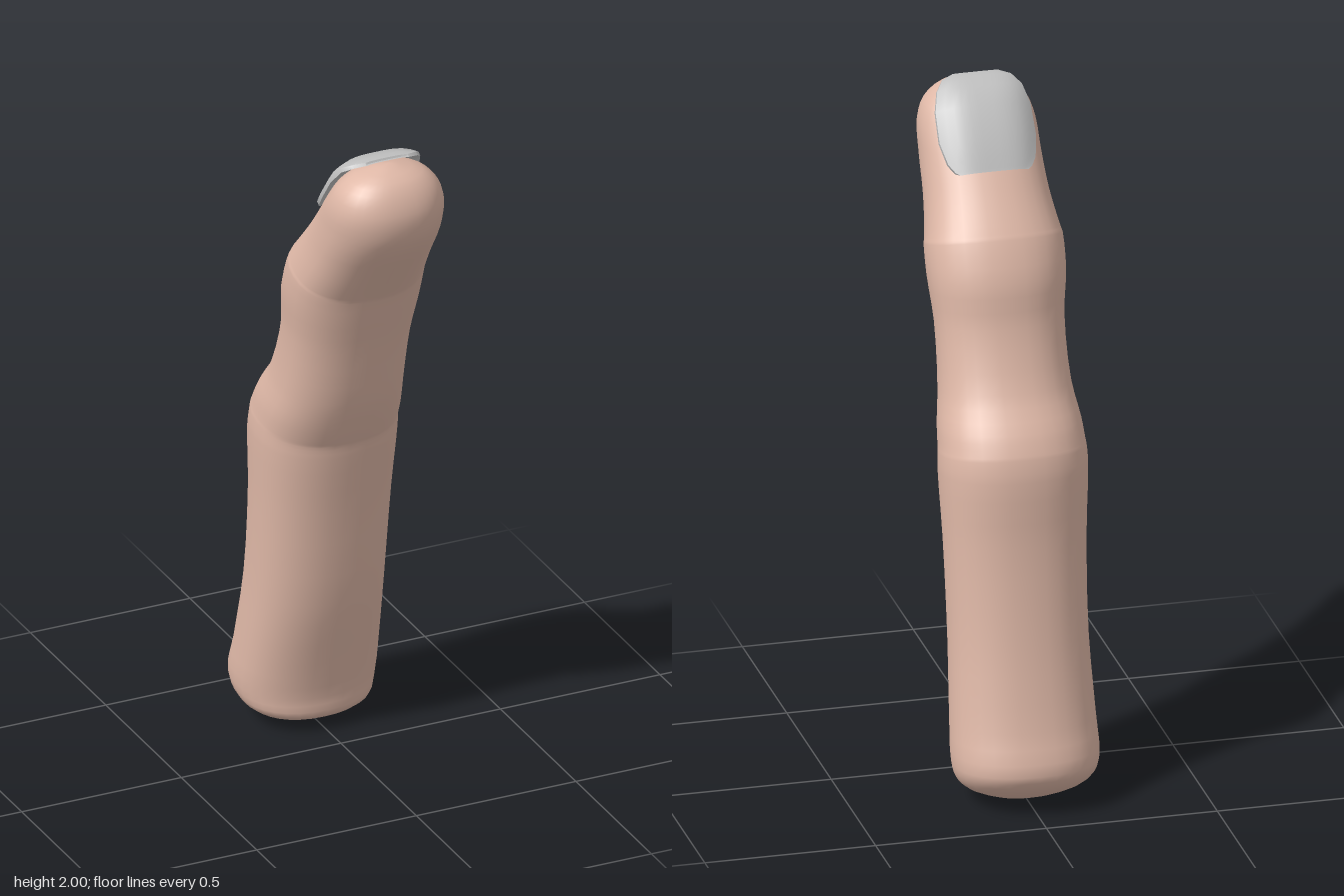
import * as THREE from 'three';
import { mergeVertices, toCreasedNormals } from 'three/addons/utils/BufferGeometryUtils.js';

// Skin a list of closed rings (equal point counts) into one welded surface
function loft(rings) {
  const n = rings[0].length, index = [];
  for (let i = 0; i < rings.length - 1; i++) {
    for (let j = 0; j < n; j++) {
      const a = i * n + j, b = i * n + (j + 1) % n;
      index.push(a, a + n, b, b, a + n, b + n);
    }
  }
  const raw = new THREE.BufferGeometry().setFromPoints(rings.flat());
  raw.setIndex(index);
  const geometry = mergeVertices(raw, 1e-5);
  geometry.computeVertexNormals();
  return geometry;
}

// Finger sections from base to tip: front z, front y, back z, back y, half width
const SECTIONS = [
  [-0.25, 0.0, -0.26, 0.0, 0.0],
  [-0.16, 0.02, -0.33, 0.025, 0.11],
  [-0.09, 0.05, -0.405, 0.075, 0.19],
  [-0.085, 0.11, -0.436, 0.13, 0.21],
  [-0.06, 0.23, -0.4, 0.25, 0.208],
  [-0.01, 0.44, -0.348, 0.49, 0.2],
  [0.03, 0.74, -0.312, 0.78, 0.204],
  [0.062, 0.94, -0.306, 0.98, 0.213],
  [0.068, 0.98, -0.293, 1.045, 0.211], // lower joint crease
  [0.076, 0.997, -0.287, 1.06, 0.209],
  [0.105, 1.06, -0.26, 1.11, 0.204],
  [0.14, 1.15, -0.19, 1.205, 0.189],
  [0.188, 1.33, -0.122, 1.38, 0.185],
  [0.23, 1.46, -0.1, 1.51, 0.198],
  [0.25, 1.52, -0.05, 1.622, 0.198], // upper joint crease
  [0.258, 1.535, -0.038, 1.638, 0.194],
  [0.335, 1.645, 0.025, 1.715, 0.178],
  [0.42, 1.775, 0.085, 1.79, 0.172],
  [0.436, 1.855, 0.15, 1.868, 0.168],
  [0.42, 1.915, 0.195, 1.925, 0.148],
  [0.385, 1.96, 0.24, 1.967, 0.1],
  [0.315, 1.99, 0.31, 1.99, 0.0],
];

function fingerGeometry() {
  const front = new THREE.CatmullRomCurve3(SECTIONS.map(s => new THREE.Vector3(s[4], s[1], s[0])));
  const back = new THREE.CatmullRomCurve3(SECTIONS.map(s => new THREE.Vector3(s[4], s[3], s[2])));
  const steps = (SECTIONS.length - 1) * 3, sides = 32, rings = [];
  const soft = v => Math.sign(v) * Math.pow(Math.abs(v), 2 / 2.25);
  for (let i = 0; i <= steps; i++) {
    const f = front.getPoint(i / steps), b = back.getPoint(i / steps);
    const width = Math.max(0, f.x);
    rings.push(Array.from({ length: sides }, (_, j) => {
      const a = (j / sides) * Math.PI * 2;
      const t = (1 + soft(Math.sin(a))) / 2;
      return new THREE.Vector3(soft(Math.cos(a)) * width,
        THREE.MathUtils.lerp(b.y, f.y, t), THREE.MathUtils.lerp(b.z, f.z, t));
    }));
  }
  return loft(rings);
}

// Nail stations from root to free edge: z, y, half width, thickness
const NAIL = [
  [0.07, 1.787, 0.1, 0],
  [0.075, 1.795, 0.112, 0.012],
  [0.088, 1.82, 0.128, 0.014],
  [0.125, 1.875, 0.141, 0.014],
  [0.18, 1.947, 0.139, 0.014],
  [0.23, 1.986, 0.124, 0.014],
  [0.275, 1.998, 0.1, 0.012],
  [0.3, 2.0, 0.066, 0.01],
  [0.303, 1.995, 0.06, 0],
];

function nailGeometry() {
  const cols = 12;
  // Plate bends down towards both sides, along the inward direction
  const inward = new THREE.Vector3(0, -0.57, 0.82);
  const rings = NAIL.map(([z, y, w, thick]) => {
    const across = depth => Array.from({ length: cols + 1 }, (_, k) => {
      const x = (k / cols * 2 - 1) * w;
      const drop = 0.042 * Math.pow(Math.abs(x) / 0.14, 3.5);
      return new THREE.Vector3(x, y, z).addScaledVector(inward, drop + depth);
    });
    return [...across(0), ...across(thick).reverse()];
  });
  return toCreasedNormals(loft(rings), 0.7);
}

export function createModel() {
  const skin = new THREE.MeshStandardMaterial({ color: 0xdfb8a7 });
  skin.name = 'skin';
  const nailGrey = new THREE.MeshStandardMaterial({ color: 0xc0c0c0, side: THREE.DoubleSide });
  nailGrey.name = 'nail grey';

  const model = new THREE.Group();
  model.name = 'finger model';
  const finger = new THREE.Mesh(fingerGeometry(), skin);
  finger.name = 'finger';
  const nail = new THREE.Mesh(nailGeometry(), nailGrey);
  nail.name = 'fingernail';
  model.add(finger, nail);
  return model;
}
